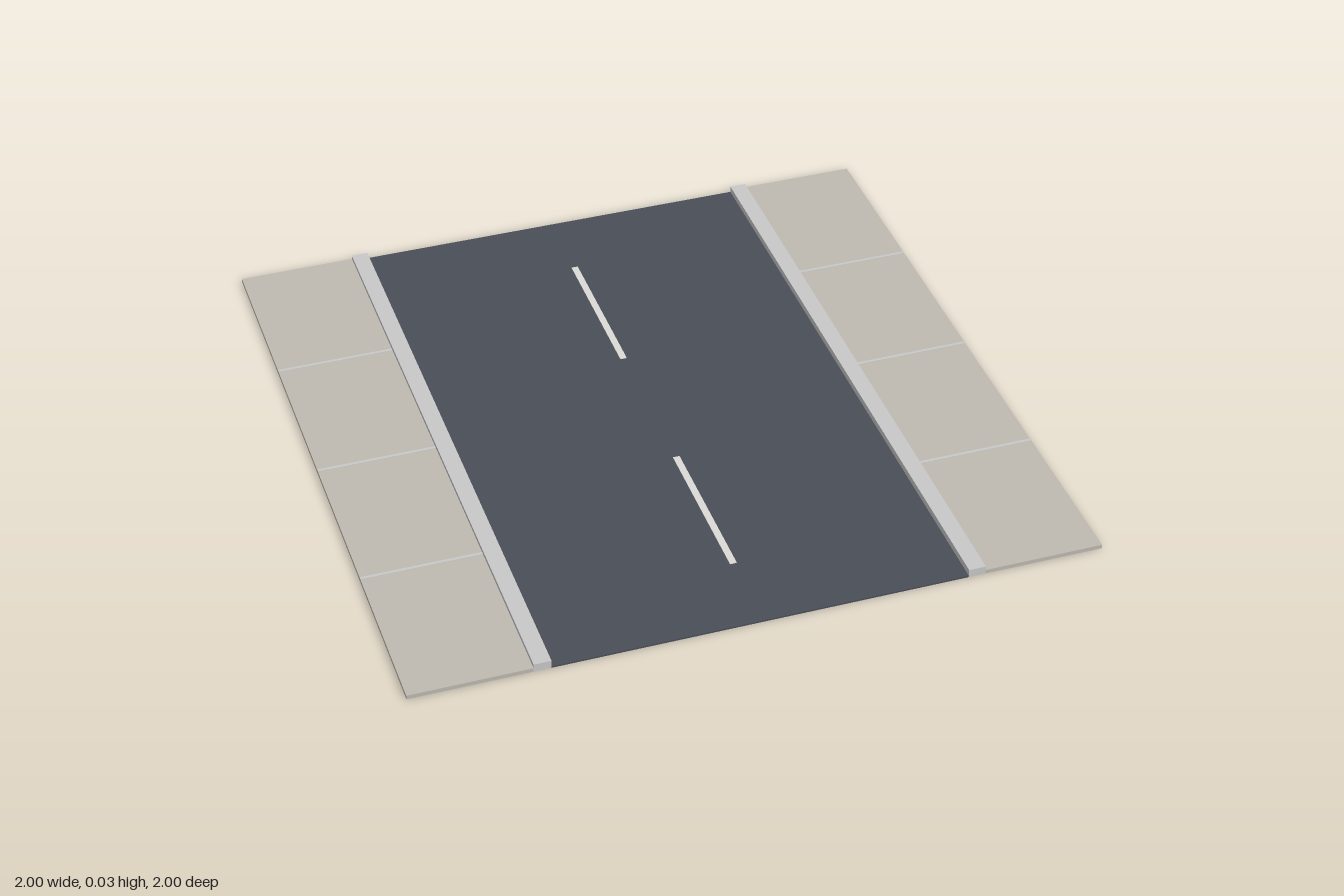
import * as THREE from 'three';

export function createModel() {
  const model = new THREE.Group();
  const asphalt = new THREE.MeshStandardMaterial({ color: 0x4a4e57 });
  const paving = new THREE.MeshStandardMaterial({ color: 0xbebab1 });
  const kerbStone = new THREE.MeshStandardMaterial({ color: 0xc8c8c9 });
  const linePaint = new THREE.MeshStandardMaterial({ color: 0xdcdad6 });
  asphalt.name = 'asphalt';
  paving.name = 'paving';
  kerbStone.name = 'kerbStone';
  linePaint.name = 'linePaint';

  // Box placed by its centre in x and z and its underside in y
  const slab = (name, material, [w, h, d], [x, y, z]) => {
    const mesh = new THREE.Mesh(new THREE.BoxGeometry(w, h, d), material);
    mesh.name = name;
    mesh.position.set(x, y + h / 2, z);
    model.add(mesh);
  };

  // Carriageway with two centre dashes
  slab('road', asphalt, [1.2, 0.005, 2], [0, 0, 0]);
  for (const z of [-0.5, 0.5]) {
    slab('centreDash', linePaint, [0.02, 0.002, 0.5], [0, 0.005, z]);
  }

  // Kerb, pavement and paving joints on both sides
  for (const side of [-1, 1]) {
    slab('kerb', kerbStone, [0.05, 0.025, 2], [side * 0.625, 0, 0]);
    slab('pavement', paving, [0.35, 0.0125, 2], [side * 0.825, 0, 0]);
    for (const z of [-0.5, 0, 0.5]) {
      slab('pavingJoint', kerbStone, [0.35, 0.001, 0.01], [side * 0.825, 0.0125, z]);
    }
  }
  return model;
}
